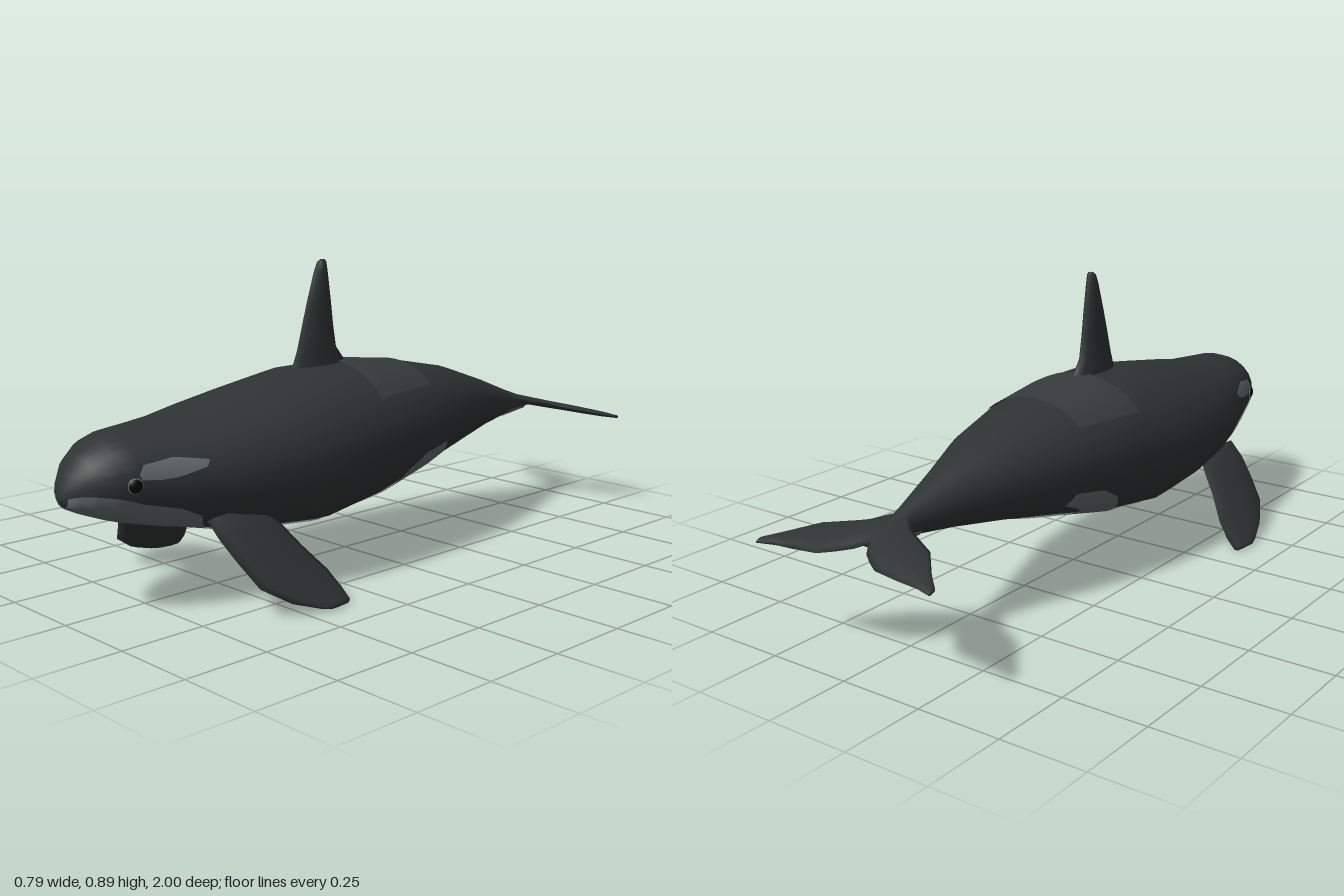
import * as THREE from 'three';

const V = (x, y, z) => new THREE.Vector3(x, y, z);
const mat = (color) => new THREE.MeshStandardMaterial({ color, side: THREE.DoubleSide });
const skin = mat(0x2f3334), saddleGrey = mat(0x373b3c), pale = mat(0x646c6c), black = mat(0x070707);

// Body stations from nose to tail: [z, top, bottom, half width]
const STATIONS = [
  [1, 0.355, 0.325, 0.012], [0.985, 0.4, 0.312, 0.05], [0.95, 0.445, 0.295, 0.09],
  [0.9, 0.48, 0.275, 0.125], [0.85, 0.495, 0.258, 0.142], [0.75, 0.503, 0.232, 0.175],
  [0.66, 0.51, 0.213, 0.207], [0.55, 0.53, 0.185, 0.235], [0.4, 0.555, 0.165, 0.257],
  [0.22, 0.585, 0.147, 0.264], [0, 0.588, 0.178, 0.247], [-0.2, 0.565, 0.225, 0.215],
  [-0.42, 0.52, 0.27, 0.15], [-0.6, 0.458, 0.3, 0.08], [-0.75, 0.4, 0.32, 0.035],
  [-0.85, 0.365, 0.33, 0.02], [-0.9, 0.35, 0.335, 0.008],
];

// Point on the body; the angle is in degrees from the belly line, positive towards +x
function onBody(z, degrees, lift = 0) {
  let i = 0;
  while (i < STATIONS.length - 2 && z < STATIONS[i + 1][0]) i++;
  const a = STATIONS[i], b = STATIONS[i + 1];
  const t = (z - a[0]) / (b[0] - a[0]);
  const [top, bottom, w] = [1, 2, 3].map((k) => a[k] + (b[k] - a[k]) * t);
  const r = THREE.MathUtils.degToRad(degrees), s = Math.sin(r), c = Math.cos(r);
  const x = Math.sign(s) * Math.abs(s) ** (c > 0 ? 0.72 : 1); // fuller below
  return V(x * (w + lift), (top + bottom) / 2 - c * ((top - bottom) / 2 + lift), z);
}

function toGeometry(points, index) {
  const g = new THREE.BufferGeometry().setFromPoints(points);
  g.setIndex(index);
  g.computeVertexNormals();
  return g;
}

// Closed skin over a row of rings, capped at both ends and wound outwards
function loft(rings) {
  const n = rings[0].length, points = rings.flat(), index = [];
  for (let i = 0; i < rings.length - 1; i++) {
    for (let j = 0; j < n; j++) {
      const a = i * n + j, b = i * n + ((j + 1) % n);
      index.push(a, b, a + n, b, b + n, a + n);
    }
  }
  [0, rings.length - 1].forEach((row) => {
    const centre = points.length;
    points.push(rings[row].reduce((s, p) => s.add(p), V(0, 0, 0)).divideScalar(n));
    for (let j = 0; j < n; j++) {
      const a = row * n + j, b = row * n + ((j + 1) % n);
      index.push(centre, ...(row ? [a, b] : [b, a]));
    }
  });
  let volume = 0;
  for (let i = 0; i < index.length; i += 3) {
    const [a, b, c] = [0, 1, 2].map((k) => points[index[i + k]]);
    volume += a.dot(V(0, 0, 0).crossVectors(b, c));
  }
  if (volume < 0) index.reverse();
  return toGeometry(points, index);
}

// Lens-shaped ring between a leading and a trailing edge
function bladeRing(lead, trail, thickness) {
  const mid = lead.clone().add(trail).multiplyScalar(0.5);
  const half = lead.clone().sub(mid);
  return Array.from({ length: 10 }, (_, i) => {
    const a = (i / 10) * Math.PI * 2;
    return mid.clone().addScaledVector(half, Math.cos(a)).addScaledVector(thickness, Math.sin(a));
  });
}

// Marking lying on the body between two edges of [z, angle] points
function marking(edgeA, edgeB, lift = 0.004, across = 14, steps = 8) {
  const points = [], index = [], rows = (edgeA.length - 1) * steps;
  const along = (edge, u) => {
    const i = Math.min(Math.floor(u), edge.length - 2), t = u - i;
    return [0, 1].map((k) => edge[i][k] + (edge[i + 1][k] - edge[i][k]) * t);
  };
  for (let r = 0; r <= rows; r++) {
    const a = along(edgeA, r / steps), b = along(edgeB, r / steps);
    for (let j = 0; j <= across; j++) {
      const t = j / across;
      points.push(onBody(a[0] + (b[0] - a[0]) * t, a[1] + (b[1] - a[1]) * t, lift));
      if (r < rows && j < across) {
        const p = r * (across + 1) + j, q = p + across + 1;
        index.push(p, p + 1, q, p + 1, q + 1, q);
      }
    }
  }
  return toGeometry(points, index);
}

const mirrorEdge = (edge) => edge.map(([z, angle]) => [z, -angle]);

export function createModel() {
  const model = new THREE.Group();
  model.name = 'whale';
  const add = (name, geometry, material) => {
    const mesh = new THREE.Mesh(geometry, material);
    mesh.name = name;
    model.add(mesh);
    return mesh;
  };

  add('body', loft(STATIONS.map(([z]) => Array.from({ length: 24 }, (_, j) => onBody(z, j * 15)))), skin);

  // Dorsal fin: [y, front z, back z, half thickness]
  add('dorsalFin', loft([
    [0.55, 0.23, -0.02, 0.034], [0.59, 0.21, 0.005, 0.029], [0.63, 0.193, 0.037, 0.026],
    [0.7, 0.172, 0.05, 0.023], [0.77, 0.15, 0.06, 0.02], [0.855, 0.12, 0.075, 0.017],
    [0.882, 0.108, 0.08, 0.014], [0.89, 0.097, 0.084, 0.008],
  ].map(([y, f, b, t]) => bladeRing(V(0, y, f), V(0, y, b), V(t, 0, 0)))), skin);

  // Tail flukes: [x, leading z, trailing z, half thickness], swept on a gentle slope
  const half = [
    [0.03, -0.765, -0.93, 0.014], [0.065, -0.8, -0.955, 0.013], [0.1, -0.82, -0.975, 0.012],
    [0.18, -0.86, -0.985, 0.011], [0.25, -0.935, -0.99, 0.009], [0.295, -0.975, -1, 0.005],
  ];
  const flukeY = (z) => 0.353 + (z + 0.85) * 0.27;
  const flukes = [...half.map(([x, ...r]) => [-x, ...r]).reverse(), [0, -0.74, -0.89, 0.015], ...half];
  add('tailFlukes', loft(flukes.map(([x, f, b, t]) =>
    bladeRing(V(x, flukeY(f), f), V(x, flukeY(b), b), V(0, t, 0)))), skin);

  // Belly and chin marking
  const belly = [
    [0.995, 84], [0.95, 76], [0.84, 64], [0.74, 60], [0.68, 50], [0.66, 36], [0.61, 14],
    [0.4, 16], [0.1, 17], [0, 25], [-0.2, 22], [-0.3, 17], [-0.36, 8],
  ];
  add('bellyMarking', marking(belly, mirrorEdge(belly)), pale);
  const tailBase = [[-0.73, 55], [-0.84, 62]];
  add('tailBaseMarking', marking(tailBase, mirrorEdge(tailBase)), pale);
  add('saddleMarking', marking([[0.05, 125], [-0.2, 130]], [[0.05, 235], [-0.2, 230]], 0.003, 20), saddleGrey);

  for (const [side, s] of [['left', 1], ['right', -1]]) {
    // Flipper: [x, y, front z, back z, half thickness]
    add(side + 'Flipper', loft([
      [0.17, 0.25, 0.67, 0.48, 0.02], [0.215, 0.205, 0.665, 0.44, 0.019],
      [0.262, 0.15, 0.645, 0.41, 0.017], [0.315, 0.085, 0.615, 0.365, 0.016],
      [0.355, 0.038, 0.54, 0.348, 0.014], [0.382, 0.012, 0.46, 0.345, 0.01],
      [0.388, 0.006, 0.43, 0.355, 0.005],
    ].map(([x, y, f, b, t]) => bladeRing(
      V(s * (x + 0.006), y + 0.002, f), V(s * (x - 0.006), y, b), V(s * t * 0.75, t * 0.65, 0)))), skin);

    const sided = (edge) => (s > 0 ? edge : mirrorEdge(edge));
    // Flank marking sweeping up and back from the belly
    add(side + 'FlankMarking', marking(
      sided([[0, 20], [-0.03, 42], [-0.07, 55], [-0.14, 65], [-0.25, 66]]),
      sided([[-0.22, 18], [-0.18, 30], [-0.18, 36], [-0.21, 42], [-0.27, 50]])), pale);
    // Marking above the eye
    add(side + 'EyeMarking', marking(
      sided([[0.855, 102], [0.84, 113], [0.76, 119], [0.67, 113]]),
      sided([[0.85, 95], [0.8, 95], [0.76, 97], [0.68, 106]])), pale);

    // Eye: a dark bead in a pale rim
    const at = onBody(0.865, s * 88);
    const turn = s * 1.2;
    const rim = add(side + 'EyeRim', new THREE.SphereGeometry(0.021, 20, 12), pale);
    const eye = add(side + 'Eye', new THREE.SphereGeometry(0.019, 20, 12), black);
    for (const [mesh, depth] of [[rim, 0.25], [eye, 0.5]]) {
      mesh.position.copy(at);
      mesh.rotation.y = turn;
      mesh.scale.z = depth;
    }
  }
  return model;
}
